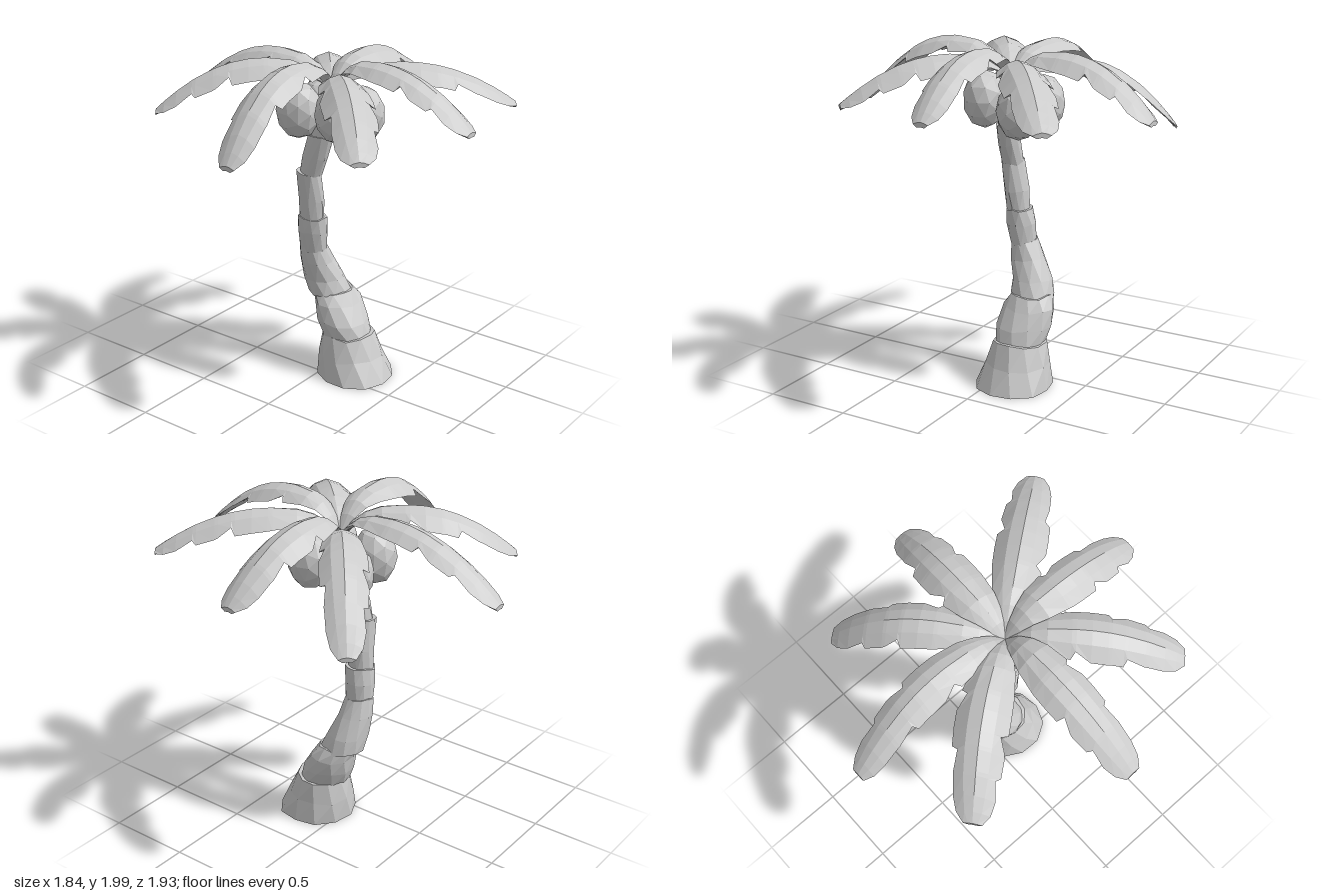
import * as THREE from 'three';

const material = new THREE.MeshStandardMaterial({ color: 0xcccccc, flatShading: true });

// small seeded noise in -1..1
let seed = 7;
const noise = () => {
  seed = (seed * 16807) % 2147483647;
  return (seed / 2147483647) * 2 - 1;
};

// closed, faceted skin over a list of rings of Vector3
function loft(rings) {
  const pos = [];
  const tri = (...pts) => pts.forEach((p) => pos.push(p.x, p.y, p.z));
  const n = rings[0].length;
  const middle = (ring) => ring.reduce((m, p) => m.addScaledVector(p, 1 / n), new THREE.Vector3());
  const first = rings[0], last = rings[rings.length - 1];
  const m0 = middle(first), m1 = middle(last);
  for (let j = 0; j < n; j++) {
    const k = (j + 1) % n;
    for (let i = 0; i < rings.length - 1; i++) {
      const a = rings[i][j], b = rings[i][k], c = rings[i + 1][k], d = rings[i + 1][j];
      tri(a, d, b);
      tri(b, d, c);
    }
    tri(m0, first[j], first[k]);
    tri(m1, last[k], last[j]);
  }
  const geo = new THREE.BufferGeometry();
  geo.setAttribute('position', new THREE.Float32BufferAttribute(pos, 3));
  geo.computeVertexNormals();
  return geo;
}

function add(parent, name, geometry) {
  const mesh = new THREE.Mesh(geometry, material);
  mesh.name = name;
  parent.add(mesh);
  return mesh;
}

// trunk segments, each a stack of [y, centre x, centre z, radius x, radius z]
const TRUNK = [
  [[0, 0.12, 0.175, 0.225, 0.23], [0.13, 0.125, 0.14, 0.19, 0.195], [0.26, 0.13, 0.115, 0.155, 0.16]],
  [[0.24, 0.125, 0.11, 0.145, 0.15], [0.34, 0.125, 0.07, 0.165, 0.15], [0.44, 0.135, 0.03, 0.155, 0.13], [0.51, 0.135, -0.01, 0.12, 0.115]],
  [[0.49, 0.13, -0.03, 0.13, 0.125], [0.58, 0.11, -0.055, 0.12, 0.115], [0.7, 0.07, -0.075, 0.1, 0.1], [0.81, 0.04, -0.085, 0.075, 0.085]],
  [[0.78, 0.04, -0.08, 0.075, 0.08], [0.9, 0.025, -0.075, 0.085, 0.09], [0.99, 0.015, -0.07, 0.075, 0.09]],
  [[0.97, 0.01, -0.07, 0.065, 0.075], [1.1, 0, -0.065, 0.07, 0.08], [1.28, -0.025, -0.065, 0.065, 0.075]],
  [[1.26, -0.02, -0.055, 0.06, 0.07], [1.38, -0.02, -0.02, 0.062, 0.08], [1.51, -0.015, 0.015, 0.058, 0.085]],
  [[1.48, -0.01, 0.01, 0.055, 0.075], [1.65, 0.01, 0.04, 0.06, 0.07], [1.76, 0.03, 0.06, 0.045, 0.045]],
];

function trunkSegment(stack, twist) {
  const sides = 11;
  return loft(stack.map(([y, cx, cz, rx, rz], i) =>
    Array.from({ length: sides }, (_, j) => {
      const a = ((j + twist + i * 0.3) / sides) * Math.PI * 2;
      const k = 1 + noise() * 0.035;
      const lift = y === 0 ? 0 : noise() * 0.01;
      return new THREE.Vector3(cx + Math.cos(a) * rx * k, y + lift, cz + Math.sin(a) * rz * k);
    })));
}

// fronds: [tip x, tip z, tip height, peak height, sideways bend, width scale]
const HUB = new THREE.Vector3(0.03, 1.77, 0.06);
const PEAK_AT = 0.38;
const FRONDS = [
  [0.02, -0.97, 1.62, 1.95, -0.035, 0.84], [0.77, -0.55, 1.49, 1.88, 0, 0.93],
  [0.92, 0.1, 1.64, 1.95, 0.025, 1], [0.67, 0.86, 1.7, 1.93, 0, 0.98],
  [0.03, 0.96, 1.7, 1.985, -0.02, 0.9], [-0.65, 0.73, 1.68, 1.93, 0.01, 1],
  [-0.92, 0.1, 1.6, 1.99, -0.025, 0.95], [-0.58, -0.71, 1.67, 1.95, -0.03, 1],
];

// [distance along, half width, notch depth on one side, on the other]
const OUTLINE = [
  [0, 0.02, 0, 0], [0.07, 0.05, 0, 0], [0.14, 0.08, 0, 0], [0.23, 0.112, 0, 0], [0.36, 0.135, 0, 0],
  [0.385, 0.138, 0, 0.035], [0.47, 0.142, 0, 0], [0.56, 0.142, 0, 0], [0.58, 0.14, 0.035, 0],
  [0.65, 0.138, 0.005, 0], [0.67, 0.136, 0, 0.03], [0.77, 0.128, 0, 0.01], [0.79, 0.126, 0.025, 0.01],
  [0.88, 0.11, 0, 0], [0.95, 0.09, 0, 0], [1, 0.05, 0, 0],
];

// cross-section: [across, is underside]
const SECTION = [[-1, 0], [-0.5, 0], [0, 0], [0.5, 0], [1, 0], [0.5, 1], [0, 1], [-0.5, 1]];

function frond([x, z, tip, peak, sway, scale], flip) {
  const span = new THREE.Vector2(x - HUB.x, z - HUB.z);
  const length = span.length();
  span.normalize();
  return loft(OUTLINE.map(([t, w, notchA, notchB]) => {
    // steep rise out of the hub, long arch, falling faster towards the tip
    const y = t < PEAK_AT
      ? peak - (peak - HUB.y) * (1 - t / PEAK_AT) ** 3
      : peak - (peak - tip) * ((t - PEAK_AT) / (1 - PEAK_AT)) ** 2;
    const r = t * length;
    const bend = sway * Math.sin(t * Math.PI);
    return SECTION.map(([u, under]) => {
      // only the rim is torn; the inner leaf stays smooth
      const notch = Math.abs(u) === 1 ? ((u < 0) === flip ? notchA : notchB) : 0;
      const across = u * (w - notch) * scale;
      const s = across + bend;
      const sag = 0.1 * Math.abs(across) + 4 * across ** 2 + under * 0.025;
      return new THREE.Vector3(
        HUB.x + span.x * r + span.y * s, y - sag, HUB.z + span.y * r - span.x * s);
    });
  }));
}

// coconut centres
const COCONUTS = [[0.15, 1.625, 0.18], [0.15, 1.62, -0.105], [-0.07, 1.67, 0.17], [-0.07, 1.65, -0.1]];

export function createModel() {
  const tree = new THREE.Group();
  tree.name = 'palmTree';

  const trunk = new THREE.Group();
  trunk.name = 'trunk';
  TRUNK.forEach((stack, i) => add(trunk, `trunkSegment${i + 1}`, trunkSegment(stack, i * 0.4)));

  const crown = new THREE.Group();
  crown.name = 'fronds';
  FRONDS.forEach((f, i) => add(crown, `frond${i + 1}`, frond(f, i % 2 === 0)));

  const nuts = new THREE.Group();
  nuts.name = 'coconuts';
  COCONUTS.forEach((p, i) => {
    const nut = add(nuts, `coconut${i + 1}`, new THREE.IcosahedronGeometry(1, 1));
    nut.geometry.rotateY(i * 0.9).scale(0.122, 0.165, 0.135);
    nut.position.set(...p);
  });

  tree.add(trunk, crown, nuts);
  return tree;
}
